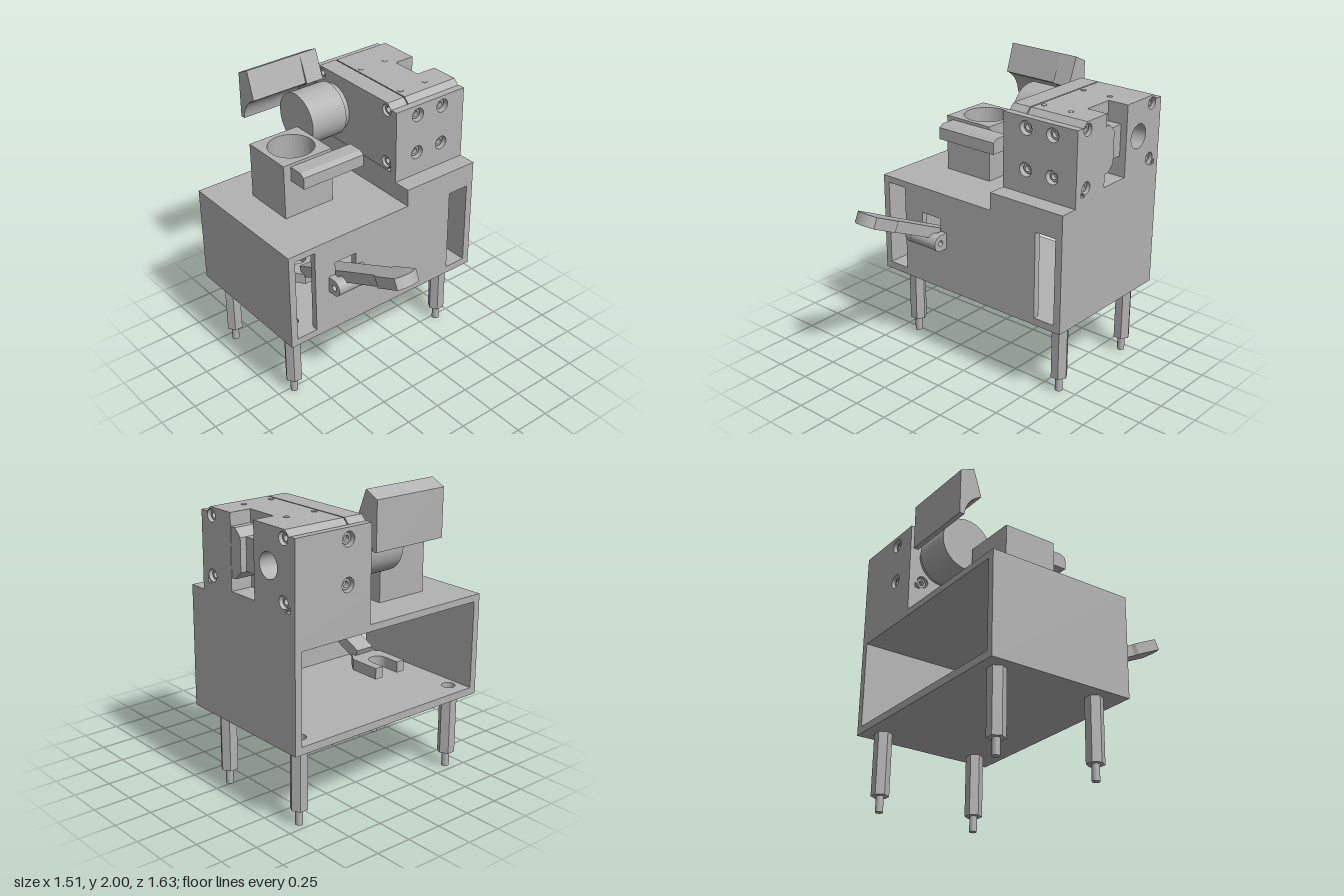
import * as THREE from 'three';

export function createModel() {
  const model = new THREE.Group();
  const grey = new THREE.MeshStandardMaterial({ color: 0xb2b2b2 });
  grey.name = 'plain grey';

  const add = (name, geo, parent = model) => {
    const m = new THREE.Mesh(geo, grey);
    m.name = name;
    parent.add(m);
    return m;
  };
  // box from its limits
  const box = (name, x0, x1, y0, y1, z0, z1) => add(name,
    new THREE.BoxGeometry(x1 - x0, y1 - y0, z1 - z0)
      .translate((x0 + x1) / 2, (y0 + y1) / 2, (z0 + z1) / 2));
  const outline = (pts) => new THREE.Shape(pts.map(([a, b]) => new THREE.Vector2(a, b)));
  const rect = (a0, a1, b0, b1) => [[a0, b0], [a1, b0], [a1, b1], [a0, b1]];
  const punch = (shape, a, b, r) => {
    shape.holes.push(new THREE.Path().absarc(a, b, r, 0, Math.PI * 2, true));
    return shape;
  };
  const extrude = (shape, depth) => new THREE.ExtrudeGeometry(shape,
    { depth, bevelEnabled: false, curveSegments: 24 });
  // extrusions along each axis; the X kind uses (-z, y), the Y kind uses (x, -z)
  const alongX = (shape, x0, x1) => extrude(shape, x1 - x0).rotateY(Math.PI / 2).translate(x0, 0, 0);
  const alongY = (shape, y0, y1) => extrude(shape, y1 - y0).rotateX(-Math.PI / 2).translate(0, y0, 0);
  const alongZ = (shape, z0, z1) => extrude(shape, z1 - z0).translate(0, 0, z0);
  const ring = (a, b, r, hole) => punch(new THREE.Shape().absarc(a, b, r, 0, Math.PI * 2, false), a, b, hole);

  // ---- housing, open at the back ----
  const legSpots = [-0.635, 0.63].flatMap((x) => [0.02, -0.69].map((z) => [x, z]));
  const front = outline(rect(-0.757, 0.755, 0.525, 1.21));
  for (const r of [[-0.71, -0.56, 0.575, 1.165], [0.55, 0.705, 0.575, 1.165], [-0.405, -0.24, 0.83, 1.03]]) {
    front.holes.push(outline(rect(...r).reverse()));
  }
  add('frontWall', alongZ(front, 0.15, 0.195));
  box('rightWall', -0.757, -0.71, 0.525, 1.21, -0.812, 0.15);
  box('leftWall', 0.705, 0.755, 0.525, 1.21, -0.812, 0.15);
  const floor = outline(rect(-0.71, 0.705, -0.15, 0.812));
  legSpots.forEach(([x, z]) => punch(floor, x, -z, 0.045));
  add('floor', alongY(floor, 0.525, 0.575));
  const roof = punch(outline(rect(-0.71, 0.705, -0.15, 0.812)), -0.32, 0.36, 0.152);
  add('roof', alongY(roof, 1.165, 1.21));

  // ---- hexagonal legs with round studs ----
  for (const [x, z] of legSpots) {
    const hex = new THREE.CylinderGeometry(0.058, 0.058, 0.42, 6).toNonIndexed();
    hex.computeVertexNormals();
    add('leg', hex.rotateY(Math.PI / 6).translate(x, 0.315, z));
    add('legStud', new THREE.CylinderGeometry(0.025, 0.025, 0.105, 20).translate(x, 0.0525, z));
  }

  // ---- raised seat for the gripper block ----
  box('seatStep', 0.187, 0.755, 1.21, 1.33, 0.07, 0.195);
  box('seatBase', 0.187, 0.755, 1.21, 1.385, -0.812, 0.07);
  const screw = (name, geo) => add(name, geo);
  const panel = (name, xs, z0, z1, sz) => {
    const s = outline(rect(0.187, 0.755, 1.385, 1.83));
    for (const x of xs) for (const y of [1.49, 1.76]) {
      punch(s, x, y, 0.046);
      screw('panelScrew', alongZ(ring(x, y, 0.034, 0.02), sz, sz + 0.025));
    }
    add(name, alongZ(s, z0, z1));
  };
  panel('frontPanel', [0.365, 0.57], 0.02, 0.07, 0.02);
  panel('backPanel', [0.365], -0.812, -0.767, -0.792);

  // ---- gripper block, chamfered along its four long edges ----
  const c = 0.042, y0 = 1.385, y1 = 1.863;
  const fullBlock = (i = 0) => outline([[-0.02 + i + c, y0], [0.767 - i - c, y0], [0.767 - i, y0 + c],
    [0.767 - i, y1 - i - c], [0.767 - i - c, y1 - i], [-0.02 + i + c, y1 - i], [-0.02 + i, y1 - i - c], [-0.02 + i, y0 + c]]);
  const screwSpots = [1.44, 1.81].flatMap((y) => [0.03, 0.71].map((u) => [u, y]));
  const flank = fullBlock();
  screwSpots.forEach(([u, y]) => punch(flank, u, y, 0.04));
  add('blockFlank', alongX(flank, 0.19, 0.24));
  add('blockInner', alongX(fullBlock(), 0.24, 0.322));
  add('blockGroove', alongX(fullBlock(0.012), 0.322, 0.33));
  add('blockCore', alongX(fullBlock(), 0.33, 0.61));
  const frontJaw = outline([[-0.02 + c, y0], [0.22, y0], [0.22, y1], [-0.02 + c, y1], [-0.02, y1 - c], [-0.02, y0 + c]]);
  const rearJaw = outline([[0.44, y0], [0.767 - c, y0], [0.767, y0 + c], [0.767, y1 - c], [0.767 - c, y1], [0.44, y1]]);
  screwSpots.forEach(([u, y]) => {
    punch(u < 0.3 ? frontJaw : rearJaw, u, y, 0.04);
    screw('jawScrew', alongX(ring(u, y, 0.031, 0.018), 0.7, 0.735));
    screw('flankScrew', alongX(ring(u, y, 0.031, 0.018), 0.205, 0.24));
  });
  punch(rearJaw, 0.575, 1.625, 0.081);
  add('frontJaw', alongX(frontJaw, 0.61, 0.755));
  add('rearJaw', alongX(rearJaw, 0.61, 0.755));
  add('jawNose', alongX(outline([[0.22, 1.47], [0.26, 1.47], [0.31, 1.52], [0.31, 1.73], [0.26, 1.78], [0.22, 1.78]]), 0.61, 0.752));
  box('jawSlider', 0.61, 0.71, 1.52, 1.73, -0.44, -0.31);
  for (const x of [0.365, 0.57]) for (const z of [-0.51, -0.105]) {
    add('topPin', new THREE.CylinderGeometry(0.018, 0.018, 0.006, 20).translate(x, y1, z));
  }

  // ---- rotating hub with paddle ----
  const hub = (name, r, x0, x1) => add(name, new THREE.CylinderGeometry(r, r, x1 - x0, 48)
    .rotateZ(Math.PI / 2).translate((x0 + x1) / 2, 1.622, -0.575));
  hub('hub', 0.183, -0.12, 0.15);
  hub('hubCollar', 0.162, 0.15, 0.19);
  const paddle = (u) => {
    const s = new THREE.Shape();
    s.moveTo(0.715, 2.0);
    s.lineTo(u, 1.81);
    s.quadraticCurveTo(0.765, 1.76, 0.778, 1.64);
    s.lineTo(0.812, 1.64);
    s.lineTo(0.812, 1.953);
    return s;
  };
  add('paddle', alongX(paddle(0.655), -0.39, 0.02));
  add('paddleRoot', alongX(paddle(0.64), 0.02, 0.15));

  // ---- square cup holder with a through bore and front rail ----
  add('cupHolder', alongY(punch(outline(rect(-0.51, -0.137, 0.175, 0.545)), -0.32, 0.36, 0.152), 1.21, 1.59));
  add('cupRail', alongX(outline([[0.04, 1.47], [0.176, 1.47], [0.176, 1.57], [0.075, 1.57], [0.04, 1.55]]), -0.457, 0.012));

  // ---- lever: pivot ears, hub, tilted handle and inner fork ----
  for (const x of [-0.457, -0.237]) {
    const ear = new THREE.Shape();
    ear.moveTo(-0.19, 0.83);
    ear.lineTo(-0.19, 0.942);
    ear.lineTo(-0.25, 0.942);
    ear.absarc(-0.25, 0.886, 0.056, Math.PI / 2, Math.PI * 1.5, false);
    add('pivotEar', alongX(punch(ear, -0.25, 0.886, 0.02), x, x + 0.047));
  }
  add('leverHub', alongX(ring(-0.25, 0.886, 0.055, 0.02), -0.41, -0.237));
  const lever = new THREE.Group();
  lever.name = 'lever';
  lever.position.set(-0.322, 0.945, 0.25);
  lever.rotation.x = -0.435;
  model.add(lever);
  const bar = new THREE.Shape();
  bar.moveTo(-0.067, 0.5);
  bar.lineTo(-0.067, -0.36);
  bar.lineTo(-0.084, -0.385);
  bar.lineTo(-0.084, -0.585);
  bar.quadraticCurveTo(0, -0.64, 0.084, -0.585);
  bar.lineTo(0.084, -0.385);
  bar.lineTo(0.067, -0.36);
  bar.lineTo(0.067, 0.5);
  add('leverBar', alongY(bar, -0.038, 0.038), lever);
  const fork = new THREE.Shape();
  fork.moveTo(-0.385, 0.16);
  fork.lineTo(-0.257, 0.16);
  fork.lineTo(-0.197, 0.24);
  fork.lineTo(-0.197, 0.46);
  fork.lineTo(-0.257, 0.46);
  fork.lineTo(-0.257, 0.35);
  fork.absarc(-0.321, 0.35, 0.064, 0, Math.PI, true);
  fork.lineTo(-0.385, 0.46);
  fork.lineTo(-0.445, 0.46);
  fork.lineTo(-0.445, 0.24);
  add('leverFork', alongY(fork, 0.655, 0.73));

  return model;
}
